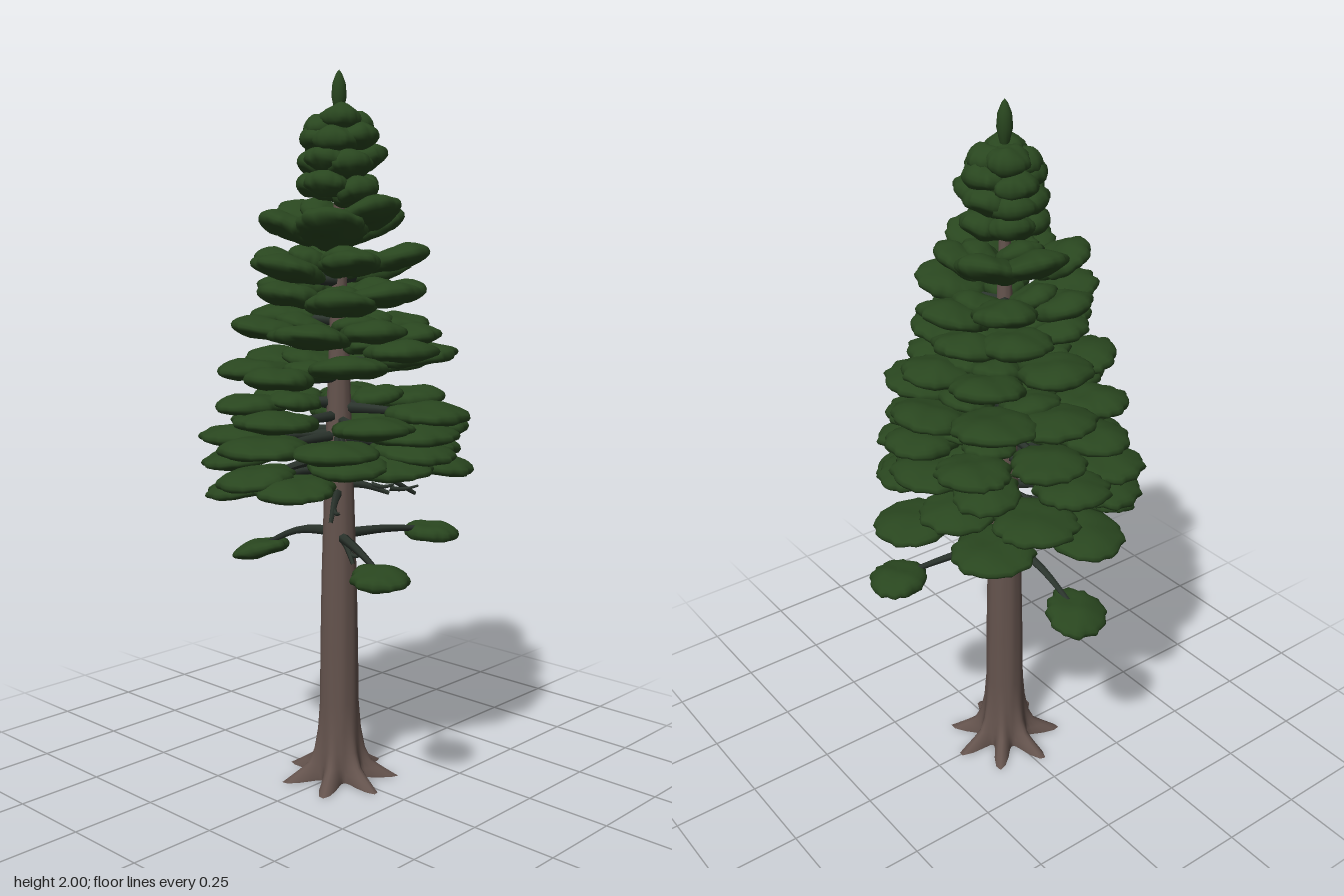
import * as THREE from 'three';
import { mergeVertices } from 'three/addons/utils/BufferGeometryUtils.js';

const bark = new THREE.MeshStandardMaterial({ color: 0x64534d, side: THREE.DoubleSide });
bark.name = 'bark';
const needles = new THREE.MeshStandardMaterial({ color: 0x29461f });
needles.name = 'needles';
const twig = new THREE.MeshStandardMaterial({ color: 0x2a332c });
twig.name = 'twig';

let seed = 7;
const rand = () => (seed = (seed * 16807) % 2147483647) / 2147483647;
const vary = (amount) => (rand() * 2 - 1) * amount;

// Rebuilds smooth normals across the seam of a reshaped geometry
function smooth(geometry) {
  geometry.deleteAttribute('uv');
  geometry.deleteAttribute('normal');
  const merged = mergeVertices(geometry, 1e-5);
  merged.computeVertexNormals();
  return merged;
}

// Trunk: turned profile, open below, whose base spreads into root toes
function trunkGeometry() {
  // radius, extra reach of the roots, height
  const rows = [
    [0.082, 0.1, 0.004], [0.082, 0.095, 0.014], [0.077, 0.055, 0.028], [0.073, 0.022, 0.05],
    [0.066, 0.009, 0.09], [0.06, 0.003, 0.15], [0.056, 0, 0.23], [0.054, 0, 0.4], [0.05, 0, 0.6],
    [0.042, 0, 0.85], [0.032, 0, 1.15], [0.023, 0, 1.4], [0.015, 0, 1.65], [0.005, 0, 1.92],
  ];
  const geometry = new THREE.LatheGeometry(rows.map(([r, , y]) => new THREE.Vector2(r, y)), 70);
  const p = geometry.attributes.position;
  for (let i = 0; i < p.count; i++) {
    const [r, reach, y] = rows[i % rows.length];
    const a = Math.atan2(p.getZ(i), p.getX(i));
    const toe = Math.pow(0.5 + 0.5 * Math.cos(7 * a + 0.5 * Math.sin(a)), 1.6);
    const radius = r * (1 + 0.012 * Math.sin(9 * a + y * 3)) + reach * (toe - 0.1);
    p.setXYZ(i, Math.cos(a) * radius, y * (1 - 0.8 * toe * (reach > 0.09 ? 1 : 0)), Math.sin(a) * radius);
  }
  return smooth(geometry);
}

// Foliage pad of unit size: flattened cushion with a ragged rim, outer end at +x
function padGeometry() {
  const teethCount = 36;
  const teeth = Array.from({ length: teethCount }, (_, j) => (j % 3 === 0 ? 0.06 : -0.01) + vary(0.05));
  const phase = rand() * 6;
  const geometry = new THREE.SphereGeometry(1, teethCount, 12);
  const p = geometry.attributes.position;
  for (let i = 0; i < p.count; i++) {
    const x = p.getX(i), y = p.getY(i), z = p.getZ(i);
    const rho = Math.hypot(x, z);
    const j = Math.round((Math.atan2(z, x) / (2 * Math.PI)) * teethCount + teethCount) % teethCount;
    const rim = 1 + teeth[j] * rho ** 4;
    const lump = 1 + 0.22 * Math.sin(4 * x + phase) * Math.cos(3.5 * z + phase);
    const height = Math.sign(y) * Math.pow(Math.abs(y), 0.8) * lump;
    p.setXYZ(i, x * rim, height - 0.15 * rho * rho, z * rim * (1 + 0.15 * x));
  }
  return smooth(geometry);
}

// Tapering limb through a few points
function limb(points, radius, name) {
  const curve = new THREE.CatmullRomCurve3(points);
  const steps = 8, sides = 6;
  const geometry = new THREE.TubeGeometry(curve, steps, radius, sides);
  const p = geometry.attributes.position;
  const v = new THREE.Vector3();
  for (let i = 0; i < p.count; i++) {
    const t = Math.floor(i / (sides + 1)) / steps;
    const centre = curve.getPointAt(t);
    v.fromBufferAttribute(p, i).sub(centre).multiplyScalar(1 - 0.6 * t).add(centre);
    p.setXYZ(i, v.x, v.y, v.z);
  }
  geometry.computeVertexNormals();
  const mesh = new THREE.Mesh(geometry, twig);
  mesh.name = name;
  return mesh;
}

// Blends four values given for +x, +z, -x and -z around the trunk
function around(values, angle) {
  const q = (((angle / (Math.PI / 2)) % 4) + 4) % 4;
  const i = Math.floor(q);
  return THREE.MathUtils.lerp(values[i], values[(i + 1) % 4], q - i);
}

export function createModel() {
  seed = 7;
  const model = new THREE.Group();
  model.name = 'conifer';
  const foliage = new THREE.Group();
  foliage.name = 'foliage';
  const branches = new THREE.Group();
  branches.name = 'branches';

  const trunk = new THREE.Mesh(trunkGeometry(), bark);
  trunk.name = 'trunk';
  model.add(trunk, branches, foliage);

  const shapes = Array.from({ length: 5 }, padGeometry);
  let count = 0;

  // Pad centred at a point, facing away from the trunk
  function addPad(x, y, z, length, width, thick, tilt) {
    const pad = new THREE.Mesh(shapes[count++ % shapes.length], needles);
    pad.name = 'foliagePad';
    pad.position.set(x, y, z);
    pad.rotation.set(0, -Math.atan2(z, x), tilt);
    pad.scale.set(length, thick, width);
    foliage.add(pad);
  }

  function addBranch(x, y, z, startY, radius) {
    const at = (t, h) => new THREE.Vector3(x * t, h, z * t);
    branches.add(limb([at(0.03, startY), at(0.5, startY + (y - startY) * 0.2), at(1, y)], radius, 'branch'));
  }

  // Tiers: outer heights and reaches toward +x, +z, -x, -z; pads, turn in degrees, tilt, half thickness
  const tiers = [
    [[0.895, 0.95, 0.88, 0.84], [0.4, 0.37, 0.385, 0.38], 7, 3, -0.12, 0.026],
    [[0.96, 0.99, 0.92, 0.92], [0.34, 0.38, 0.4, 0.37], 7, 28, -0.08, 0.027],
    [[1.03, 1.03, 1.0, 1.02], [0.335, 0.38, 0.385, 0.37], 8, 0, -0.03, 0.028],
    [[1.1, 1.085, 1.07, 1.1], [0.335, 0.37, 0.35, 0.34], 7, 20, 0.03, 0.028],
    [[1.22, 1.25, 1.19, 1.22], [0.33, 0.3, 0.34, 0.33], 8, 0, 0.08, 0.029],
    [[1.31, 1.31, 1.33, 1.35], [0.28, 0.28, 0.31, 0.28], 7, 10, 0.13, 0.03],
    [[1.42, 1.41, 1.41, 1.43], [0.25, 0.25, 0.24, 0.23], 7, 35, 0.16, 0.031],
    [[1.5, 1.53, 1.5, 1.52], [0.24, 0.24, 0.26, 0.24], 6, 5, 0.28, 0.031],
    [[1.63, 1.65, 1.61, 1.65], [0.19, 0.18, 0.21, 0.2], 6, 30, 0.5, 0.032],
  ];
  for (const [heights, reaches, pads, turn, tilt, thick] of tiers) {
    for (let i = 0; i < pads; i++) {
      const a = THREE.MathUtils.degToRad(turn + (360 * i) / pads) + vary(0.1);
      const reach = around(reaches, a) + vary(0.012);
      const half = (0.057 + 0.15 * reach) * (1 + vary(0.08));
      const lean = tilt + vary(0.08);
      const r = reach - half * Math.cos(lean);
      const y = around(heights, a) - half * Math.sin(lean) + vary(0.012);
      const x = Math.cos(a) * r, z = Math.sin(a) * r;
      addPad(x, y, z, half, half * (0.92 + vary(0.1)), thick, lean);
      addBranch(x, y - 0.005, z, y - r * Math.sin(lean) * 0.8, 0.016);
      // Inner pad filling the heart of the tier
      if (i % 2 === 0 && reach < 0.36) {
        addPad(x * 0.5, y + 0.01, z * 0.5, half * 0.75, half * 0.7, thick * 0.9, lean + 0.1);
      }
    }
  }

  // Crown: rounded clumps packed round the tip; height, reach, clumps, turn, tilt
  const crown = [
    [1.69, 0.115, 5, 15, 0.3], [1.755, 0.125, 6, 50, 0.3], [1.81, 0.115, 5, 0, 0.15], [1.862, 0.09, 4, 35, 0],
  ];
  for (const [height, reach, clumps, turn, tilt] of crown) {
    for (let i = 0; i < clumps; i++) {
      const a = THREE.MathUtils.degToRad(turn + (360 * i) / clumps) + vary(0.15);
      const half = 0.035 + 0.24 * reach;
      const r = reach * (1 + vary(0.08)) - half;
      addPad(Math.cos(a) * r, height + vary(0.015), Math.sin(a) * r, half, half * 0.95, 0.034, tilt + vary(0.12));
    }
  }

  // Long low limbs with a single pad each
  addPad(-0.18, 0.69, 0.315, 0.085, 0.075, 0.028, -0.05);
  addBranch(-0.18, 0.7, 0.315, 0.72, 0.016);
  addPad(0.32, 0.688, 0.07, 0.08, 0.08, 0.028, -0.08);
  addBranch(0.325, 0.695, 0.07, 0.722, 0.016);
  addPad(-0.02, 0.635, -0.3, 0.085, 0.085, 0.026, -0.3);
  addBranch(-0.02, 0.642, -0.3, 0.73, 0.016);

  // Bare forked stubs beneath the crown
  const stubs = [
    [0.26, 0.81, 0.06, 0.9], [-0.17, 0.8, 0.13, 0.85], [0.1, 0.84, 0.1, 0.87],
    [-0.13, 0.85, -0.1, 0.87], [-0.08, 0.67, 0.13, 0.72],
  ];
  for (const [x, y, z, startY] of stubs) {
    addBranch(x, y, z, startY, 0.014);
    branches.add(limb([
      new THREE.Vector3(x * 0.65, y + 0.025, z * 0.65),
      new THREE.Vector3(x * 0.8, y + 0.02, z * 0.8 + 0.015),
      new THREE.Vector3(x * 0.92, y + 0.03, z * 0.92 + 0.035),
    ], 0.008, 'stubFork'));
  }

  // Leading shoot
  const shoot = new THREE.Mesh(new THREE.LatheGeometry(
    [[0, 1.87], [0.012, 1.89], [0.021, 1.93], [0.018, 1.965], [0.008, 1.99], [0, 2]]
      .map(([r, y]) => new THREE.Vector2(r, y)), 14), needles);
  shoot.name = 'leadingShoot';
  foliage.add(shoot);

  return model;
}
